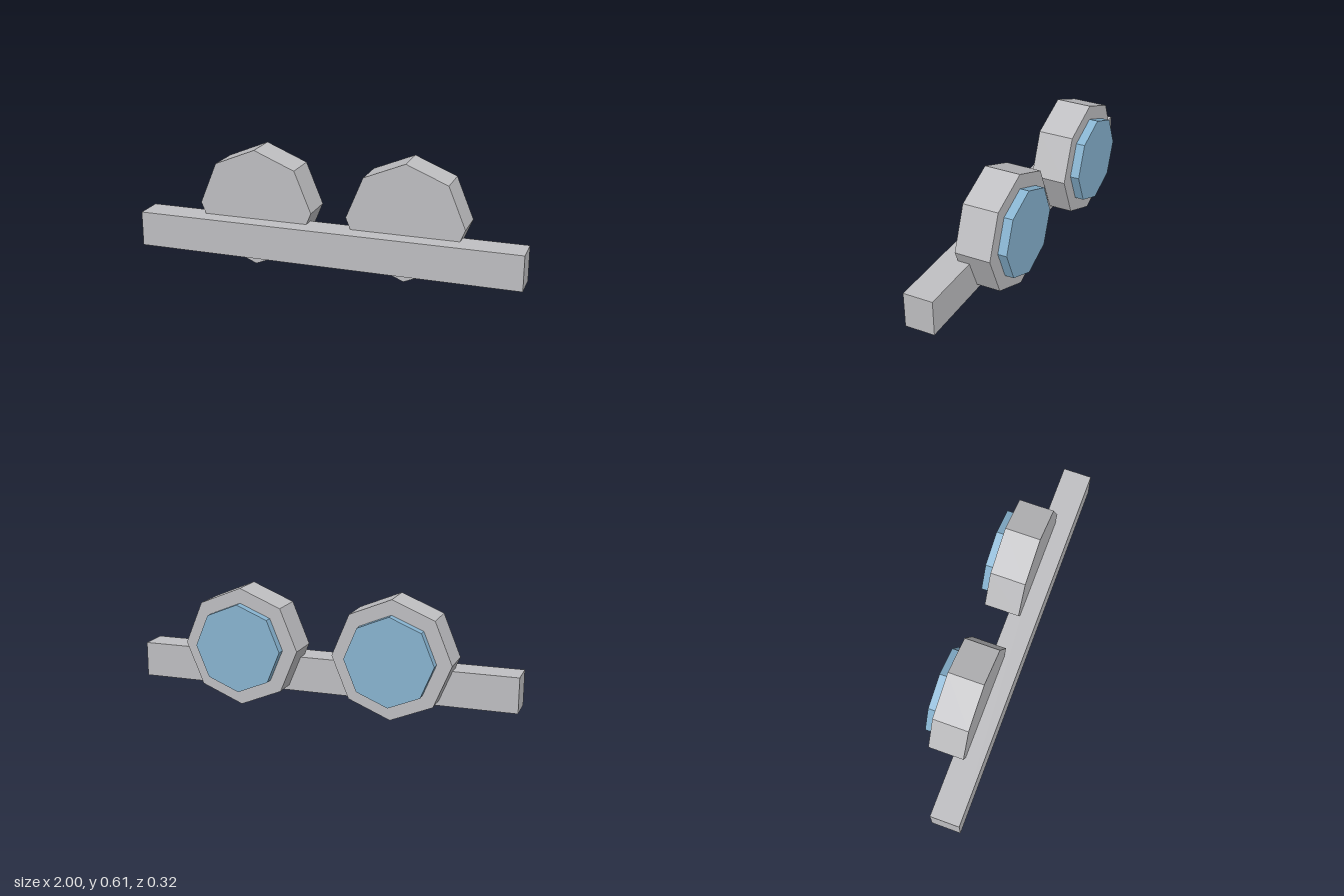
import * as THREE from 'three';

export function createModel() {
  const model = new THREE.Group();
  const grey = new THREE.MeshStandardMaterial({ color: 0xbfbfc2, flatShading: true });
  grey.name = 'greyMetal';
  const blue = new THREE.MeshStandardMaterial({ color: 0x88b4d1, flatShading: true });
  blue.name = 'blueGlass';

  // Octagonal disc lying along z, with a corner at the top
  const octagon = (name, radius, zFront, zBack, material) => {
    const geometry = new THREE.CylinderGeometry(radius, radius, zFront - zBack, 8);
    geometry.rotateX(Math.PI / 2);
    const mesh = new THREE.Mesh(geometry, material);
    mesh.name = name;
    mesh.position.z = (zFront + zBack) / 2;
    return mesh;
  };

  // Long mounting bar along the front
  const bar = new THREE.Mesh(new THREE.BoxGeometry(2, 0.181, 0.151), grey);
  bar.name = 'mountingBar';
  bar.position.set(0, 0.153, 0.084);
  model.add(bar);

  // Pair of lamps, each a housing with a raised lens at the back
  for (const side of [-1, 1]) {
    const lamp = new THREE.Group();
    lamp.name = side > 0 ? 'leftLamp' : 'rightLamp';
    lamp.position.set(side * 0.395, 0.303, 0);
    lamp.add(octagon('housing', 0.303, 0.069, -0.113, grey));
    lamp.add(octagon('lens', 0.227, -0.1, -0.159, blue));
    model.add(lamp);
  }
  return model;
}
